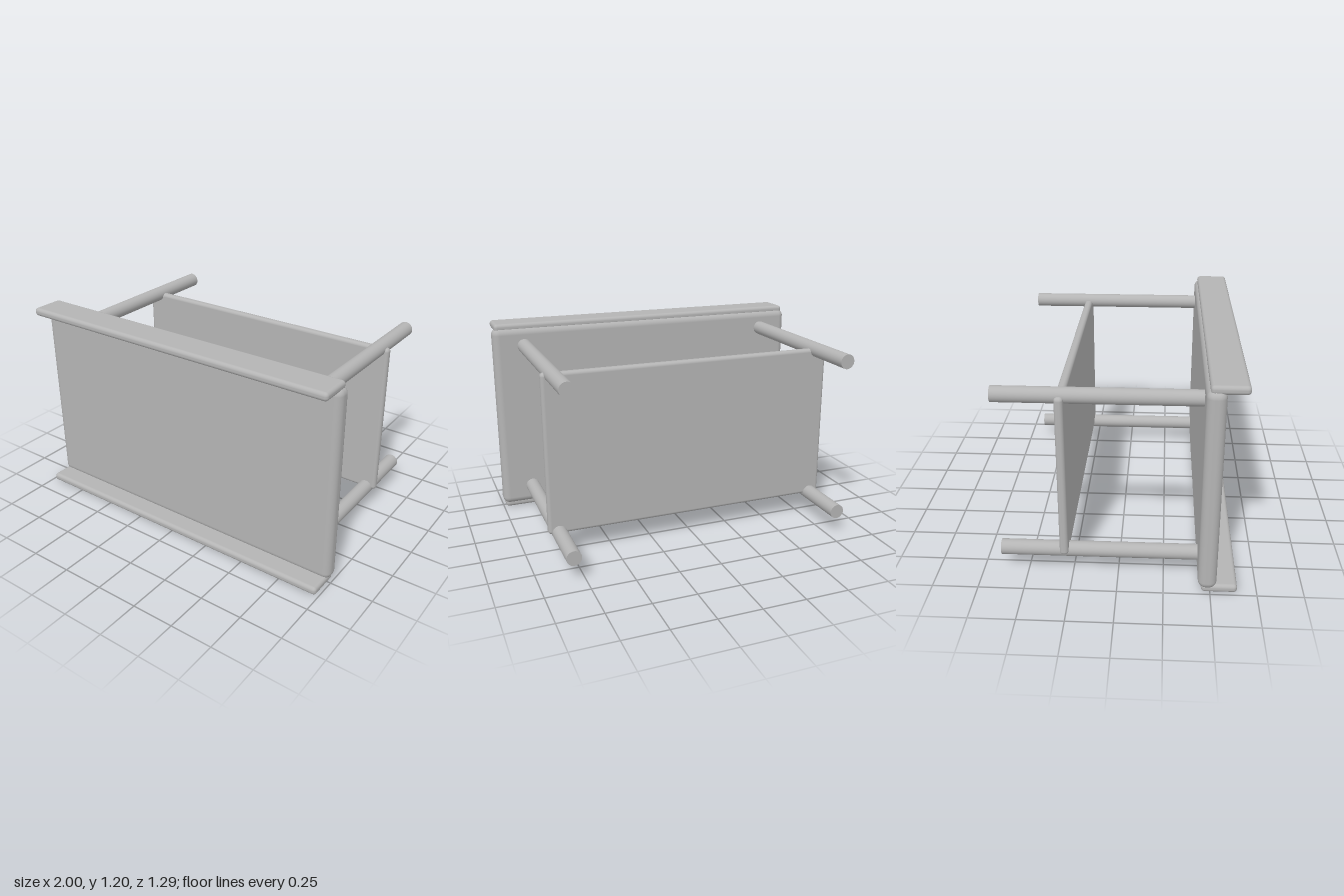
import * as THREE from 'three';
import { RoundedBoxGeometry } from 'three/addons/geometries/RoundedBoxGeometry.js';

const grey = new THREE.MeshStandardMaterial({ color: 0xb4b4b4 });
grey.name = 'plain grey';

const MID_Y = 0.6;

export function createModel() {
  const model = new THREE.Group();
  model.name = 'sideTippedTable';

  function add(name, geometry, x, y, z) {
    const mesh = new THREE.Mesh(geometry, grey);
    mesh.name = name;
    mesh.position.set(x, y, z);
    model.add(mesh);
    return mesh;
  }

  // Table top, standing upright and facing forward
  add('tableTop', new RoundedBoxGeometry(2, 1.15, 0.1, 6, 0.042), 0, MID_Y, 0.484);

  // Raised lips along the two long edges
  for (const side of [-1, 1]) {
    add(side > 0 ? 'upperLip' : 'lowerLip',
      new RoundedBoxGeometry(1.97, 0.047, 0.193, 5, 0.02), 0, MID_Y + side * 0.5765, 0.5485);
  }

  // Four round legs reaching backward
  const legGeometry = new THREE.CylinderGeometry(0.043, 0.043, 1.105, 40);
  legGeometry.rotateX(Math.PI / 2);
  for (const x of [-0.81, 0.81]) {
    for (const side of [-1, 1]) {
      add('leg', legGeometry, x, MID_Y + side * 0.4625, -0.0925);
    }
  }

  // Lower shelf between the legs
  add('shelf', new RoundedBoxGeometry(1.745, 0.94, 0.048, 5, 0.02), 0, MID_Y, -0.294);

  return model;
}
